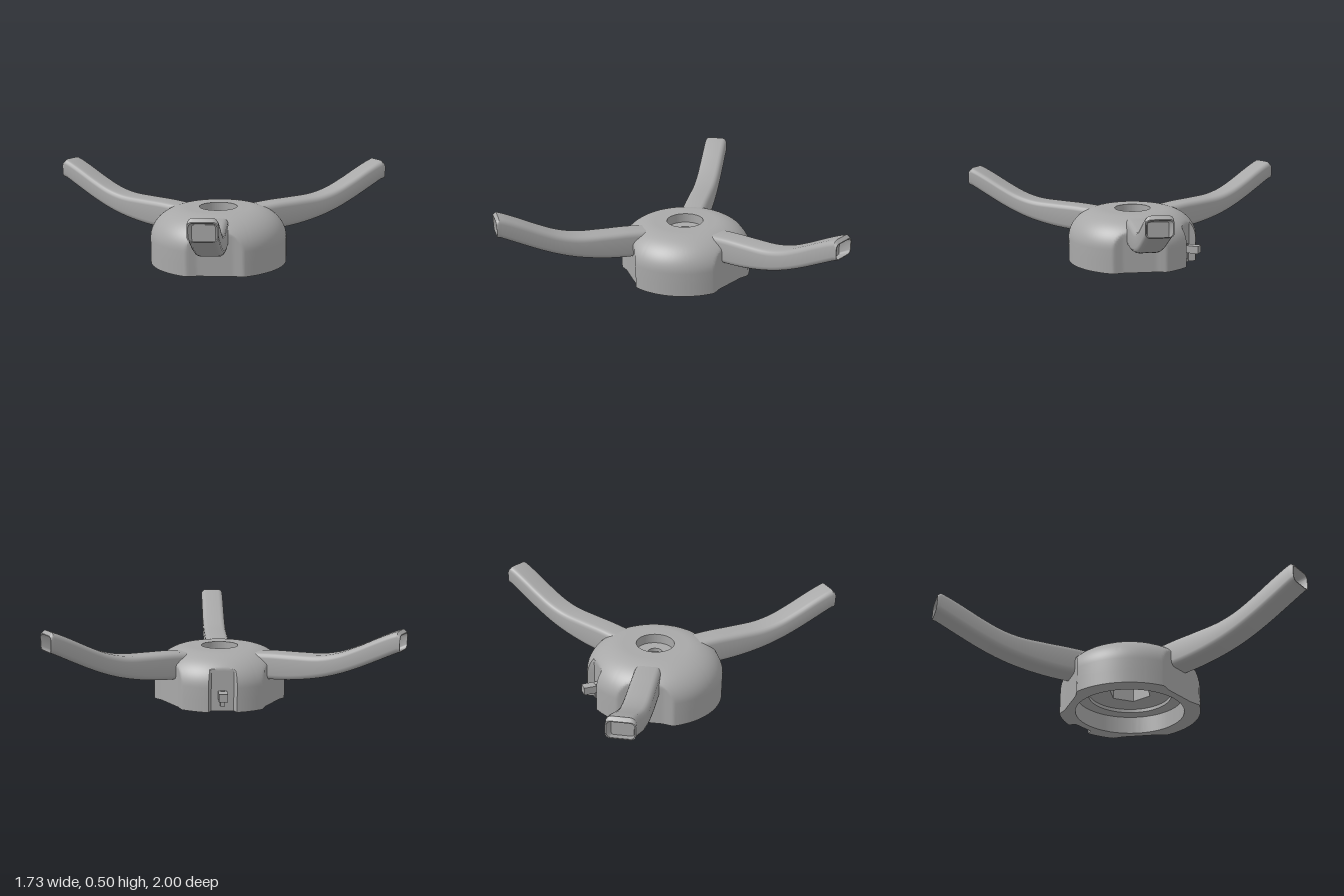
import * as THREE from 'three';
import { toCreasedNormals } from 'three/addons/utils/BufferGeometryUtils.js';

const CREASE = 0.6;
const HUB_X = -0.25;

// Limit of the hub radius at a given angle: flats under the arms and a slot for the catch
function cutRadius(angle) {
  let limit = 1;
  const offset = (deg) => {
    const d = angle - THREE.MathUtils.degToRad(deg);
    return Math.atan2(Math.sin(d), Math.cos(d));
  };
  for (const deg of [0, 120, -120]) {
    const a = offset(deg);
    const t = Math.abs(Math.tan(a) * 0.35);
    if (Math.abs(a) < 0.6 && t < 0.17) {
      limit = Math.min(limit, (0.345 + Math.max(0, t - 0.1) * 0.24) / Math.cos(a));
    }
  }
  const a = offset(60);
  if (Math.abs(a) < 0.2) limit = Math.min(limit, 0.345 / Math.cos(a));
  return limit;
}

// Domed hub with hollow underside, counterbore and centre hole
function hubGeometry() {
  const pts = [[0.23, 0.12], [0.23, 0.1], [0.3, 0.1], [0.3, 0], [0.39, 0], [0.39, 0.07]];
  for (let i = 0; i <= 20; i++) {
    const a = (i / 20) * Math.PI / 2;
    pts.push([0.18 + 0.21 * Math.cos(a), 0.14 + 0.175 * Math.sin(a)]);
  }
  pts.push([0.108, 0.315], [0.108, 0.26], [0.04, 0.26], [0.04, 0.24], [0.2, 0.24]);
  const geo = new THREE.LatheGeometry(pts.map(([x, y]) => new THREE.Vector2(x, y)), 240);
  const pos = geo.attributes.position;
  for (let i = 0; i < pos.count; i++) {
    const x = pos.getX(i), z = pos.getZ(i), r = Math.hypot(x, z);
    if (r < 0.33) continue;
    const k = Math.min(1, cutRadius(Math.atan2(-z, x)) / r);
    pos.setX(i, x * k);
    pos.setZ(i, z * k);
  }
  return toCreasedNormals(geo, CREASE);
}

// Ceiling plate with a hexagonal nut pocket
function pocketGeometry() {
  const shape = new THREE.Shape().absarc(0, 0, 0.232, 0, Math.PI * 2);
  const hex = [];
  for (let i = 0; i < 6; i++) {
    const a = i * Math.PI / 3;
    hex.push(new THREE.Vector2(0.12 * Math.cos(a), 0.12 * Math.sin(a)));
  }
  shape.holes.push(new THREE.Path(hex));
  const geo = new THREE.ExtrudeGeometry(shape, { depth: 0.1, bevelEnabled: false, curveSegments: 32 });
  geo.rotateX(-Math.PI / 2);
  geo.translate(0, 0.12, 0);
  return geo;
}

// Rounded-rectangle section in the plane across the arm
function section(x, top, bottom, halfWidth, radius) {
  const out = [], mid = (top + bottom) / 2, hh = (top - bottom) / 2;
  const r = Math.min(radius, hh, halfWidth);
  const corners = [[1, 1], [-1, 1], [-1, -1], [1, -1]];
  corners.forEach(([sy, sz], c) => {
    for (let i = 0; i <= 4; i++) {
      const a = (c + i / 4) * Math.PI / 2;
      out.push(x, mid + sy * (hh - r) + r * Math.cos(a), sz * (halfWidth - r) + r * Math.sin(a));
    }
  });
  return out;
}

// Curved arm, lofted outward and then back into a shallow open end
function armGeometry() {
  // each point holds: distance from hub centre, top edge, bottom edge
  const path = new THREE.CatmullRomCurve3([
    [0.22, 0.3, 0.155], [0.36, 0.31, 0.155], [0.5, 0.314, 0.167], [0.65, 0.322, 0.195],
    [0.76, 0.348, 0.228], [0.87, 0.395, 0.273], [0.98, 0.45, 0.326], [1.06, 0.487, 0.366],
    [1.095, 0.5, 0.383],
  ].map((p) => new THREE.Vector3(...p)));
  const rings = path.getPoints(40).map((p) => section(p.x, p.y, p.z, 0.073, 0.03));
  rings.push(
    section(1.112, 0.483, 0.388, 0.073, 0.025),
    section(1.112, 0.478, 0.393, 0.067, 0.022),
    section(1.05, 0.457, 0.37, 0.055, 0.012),
    section(1.05, 0.414, 0.413, 0.001, 0.0005),
  );
  const n = rings[0].length / 3, index = [];
  for (let k = 0; k < rings.length - 1; k++) {
    for (let i = 0; i < n; i++) {
      const a = k * n + i, b = k * n + (i + 1) % n;
      index.push(a, b, a + n, b, b + n, a + n);
    }
  }
  const geo = new THREE.BufferGeometry();
  geo.setAttribute('position', new THREE.Float32BufferAttribute(rings.flat(), 3));
  geo.setIndex(index);
  return toCreasedNormals(geo, CREASE);
}

export function createModel() {
  const grey = new THREE.MeshStandardMaterial({ color: 0xa8a8a8 });
  grey.name = 'grey';
  const model = new THREE.Group();
  model.name = 'threeArmHub';
  const body = new THREE.Group();
  body.name = 'body';
  body.position.x = HUB_X;
  model.add(body);

  const add = (parent, name, geo) => {
    const mesh = new THREE.Mesh(geo, grey);
    mesh.name = name;
    parent.add(mesh);
    return mesh;
  };

  add(body, 'hub', hubGeometry());
  add(body, 'nutPocket', pocketGeometry());

  // Three arms around the hub
  const arm = armGeometry();
  for (let i = 0; i < 3; i++) add(body, 'arm', arm).rotation.y = i * Math.PI * 2 / 3;

  // Small catch in the rear slot
  const latch = new THREE.Group();
  latch.name = 'catch';
  latch.rotation.y = Math.PI / 3;
  body.add(latch);
  add(latch, 'catchPeg', new THREE.BoxGeometry(0.11, 0.045, 0.05)).position.set(0.38, 0.095, 0);
  add(latch, 'catchFoot', new THREE.BoxGeometry(0.04, 0.09, 0.025)).position.set(0.345, 0.075, 0);

  return model;
}
